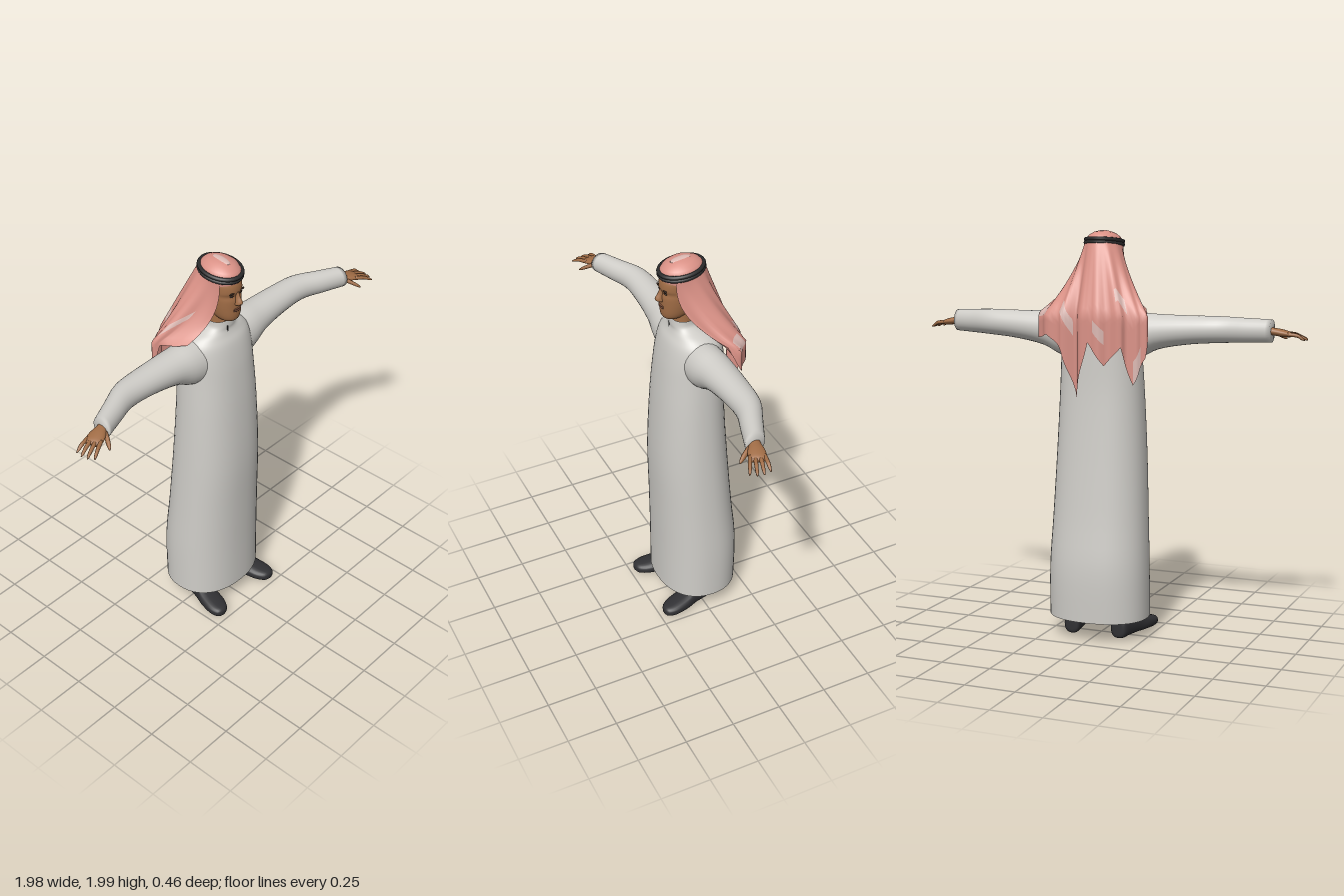
import * as THREE from 'three';
import { mergeGeometries } from 'three/addons/utils/BufferGeometryUtils.js';

const mat = (name, color, side = THREE.FrontSide) => {
  const m = new THREE.MeshStandardMaterial({ color, side });
  m.name = name;
  return m;
};

// Catmull-Rom through rows of numbers, t in 0..1
function sample(rows, t) {
  const n = rows.length - 1, f = t * n, i = Math.min(Math.floor(f), n - 1), s = f - i;
  const [a, b, c, d] = [i - 1, i, i + 1, i + 2].map(k => rows[Math.max(0, Math.min(n, k))]);
  return b.map((_, k) => b[k] + 0.5 * s * (c[k] - a[k]
    + s * (2 * a[k] - 5 * b[k] + 4 * c[k] - d[k] + s * (3 * (b[k] - c[k]) + d[k] - a[k]))));
}

// Skin over rounded rings; rows are [x, y, z, u radius, w radius] along one axis
function loft(axis, rows, { n = 24, sub = 4, exp = 2, caps = true } = {}) {
  const pos = [], idx = [], count = (rows.length - 1) * sub;
  const curve = v => Math.sign(v) * Math.abs(v) ** (2 / exp);
  for (let i = 0; i <= count; i++) {
    const [x, y, z, u, w] = sample(rows, i / count);
    for (let j = 0; j < n; j++) {
      const a = j / n * Math.PI * 2, p = curve(Math.sin(a)) * u, q = curve(Math.cos(a)) * w;
      if (axis === 'y') pos.push(x + p, y, z + q);
      else if (axis === 'x') pos.push(x, y + q, z + p);
      else pos.push(x - p, y + q, z);
      if (i < count) {
        const k = (j + 1) % n, A = i * n + j, B = i * n + k;
        idx.push(A, B, B + n, A, B + n, A + n);
      }
    }
  }
  if (caps) {
    const c = pos.length / 3, last = count * n;
    pos.push(...rows[0].slice(0, 3), ...rows[rows.length - 1].slice(0, 3));
    for (let j = 0; j < n; j++) {
      const k = (j + 1) % n;
      idx.push(c, k, j, c + 1, last + j, last + k);
    }
  }
  const g = new THREE.BufferGeometry();
  g.setAttribute('position', new THREE.Float32BufferAttribute(pos, 3));
  g.setIndex(idx);
  g.computeVertexNormals();
  return g;
}

// Upright form from [y, half width, front z, back z]
const upright = (rows, opts) =>
  loft('y', rows.map(([y, h, f, b]) => [0, y, (f + b) / 2, h, (f - b) / 2]), opts);

function mirrored(geo) {
  const g = geo.clone().scale(-1, 1, 1), ix = g.index;
  for (let i = 0; i < ix.count; i += 3) {
    const t = ix.getX(i);
    ix.setX(i, ix.getX(i + 1));
    ix.setX(i + 1, t);
  }
  return g;
}

const ball = (x, y, z, rx, ry, rz) =>
  new THREE.SphereGeometry(1, 16, 12).scale(rx, ry, rz).translate(x, y, z);

export function createModel() {
  const model = new THREE.Group();
  model.name = 'robedMan';
  const robe = mat('robe white', 0xcfcdc8, THREE.DoubleSide);
  const pink = mat('headcloth pink', 0xda9186, THREE.DoubleSide);
  const pale = mat('headcloth pale', 0xdcb9b3, THREE.DoubleSide);
  const skin = mat('skin', 0xa06c45);
  const lip = mat('lip brown', 0x80503a);
  const dark = mat('hair and eyes', 0x33241c);
  const black = mat('cord black', 0x2a2a2b);
  const shoe = mat('shoe black', 0x303033);

  const add = (name, geo, material, parent = model) => {
    const m = new THREE.Mesh(geo, material);
    m.name = name;
    parent.add(m);
    return m;
  };
  const pair = (name, geo, material) => {
    add(name + 'Left', geo, material);
    add(name + 'Right', mirrored(geo), material);
  };

  // Long robe, open at the hem
  add('robeBody', upright([
    [0.1, 0.25, 0.18, -0.22], [0.35, 0.248, 0.18, -0.225], [0.6, 0.237, 0.184, -0.2],
    [0.9, 0.224, 0.19, -0.175], [1.2, 0.21, 0.176, -0.155], [1.4, 0.2, 0.156, -0.15],
    [1.5, 0.198, 0.14, -0.148], [1.57, 0.185, 0.122, -0.135], [1.61, 0.15, 0.102, -0.1],
    [1.635, 0.1, 0.093, -0.055], [1.655, 0.073, 0.093, -0.03], [1.685, 0.068, 0.09, -0.025],
  ], { n: 48, exp: 2.25, caps: false }), robe);
  add('collarSlit', new THREE.BoxGeometry(0.005, 0.03, 0.008).translate(-0.014, 1.642, 0.091), black);

  // Sleeves
  pair('sleeve', loft('x', [
    [0.08, 1.48, 0, 0.1, 0.118], [0.2, 1.495, -0.005, 0.097, 0.11], [0.3, 1.516, -0.01, 0.085, 0.084],
    [0.45, 1.529, -0.01, 0.073, 0.069], [0.6, 1.535, 0, 0.064, 0.063],
    [0.72, 1.532, 0.045, 0.056, 0.058], [0.83, 1.529, 0.089, 0.049, 0.054],
  ], { n: 28 }), robe);

  // Hands: palm, four fingers, thumb
  const parts = [loft('x', [
    [-0.04, 0, 0, 0.025, 0.02], [0, 0, 0, 0.026, 0.018], [0.04, -0.002, 0, 0.038, 0.018],
    [0.08, -0.005, 0, 0.042, 0.014], [0.1, -0.008, 0, 0.036, 0.007],
  ])];
  [[-0.031, 0.152], [-0.011, 0.168], [0.01, 0.172], [0.031, 0.165]].forEach(([z, end]) =>
    parts.push(loft('x', [
      [0.07, -0.004, z, 0.01, 0.01], [0.115, -0.005, z * 1.25, 0.009, 0.009],
      [end - 0.015, -0.016, z * 1.4, 0.007, 0.007], [end, -0.022, z * 1.5, 0.003, 0.003],
    ], { n: 10 })));
  parts.push(loft('x', [
    [0.01, -0.004, 0.018, 0.016, 0.012], [0.04, -0.014, 0.045, 0.014, 0.011],
    [0.065, -0.025, 0.064, 0.011, 0.009], [0.08, -0.032, 0.074, 0.004, 0.004],
  ], { n: 10 }));
  pair('hand', mergeGeometries(parts).rotateZ(-0.1).rotateY(-0.33).translate(0.83, 1.527, 0.09), skin);

  // Legs and shoes
  pair('leg', new THREE.CylinderGeometry(0.06, 0.036, 0.6, 16).translate(0.13, 0.36, -0.035), skin);
  pair('shoe', loft('z', [
    [0.124, 0.05, -0.095, 0.02, 0.03], [0.125, 0.051, -0.085, 0.04, 0.05],
    [0.132, 0.054, -0.03, 0.046, 0.054], [0.145, 0.049, 0.04, 0.05, 0.049],
    [0.16, 0.038, 0.1, 0.057, 0.038], [0.174, 0.03, 0.17, 0.056, 0.03],
    [0.182, 0.026, 0.215, 0.038, 0.024], [0.184, 0.025, 0.23, 0.014, 0.012],
  ], { exp: 2.5 }), shoe);

  // Head and face
  add('neck', new THREE.CylinderGeometry(0.052, 0.058, 0.16, 20).translate(0, 1.68, 0.03), skin);
  add('head', upright([
    [1.69, 0.028, 0.115, 0.04], [1.705, 0.047, 0.133, 0.02], [1.73, 0.061, 0.14, -0.01],
    [1.77, 0.07, 0.141, -0.03], [1.81, 0.075, 0.141, -0.05], [1.835, 0.076, 0.136, -0.055],
    [1.858, 0.078, 0.143, -0.055], [1.9, 0.077, 0.135, -0.055], [1.94, 0.06, 0.1, -0.04],
  ], { n: 32, exp: 2.15 }), skin);
  add('nose', upright([
    [1.785, 0.008, 0.145, 0.12], [1.793, 0.018, 0.16, 0.12], [1.805, 0.016, 0.169, 0.12],
    [1.83, 0.01, 0.155, 0.12], [1.855, 0.008, 0.144, 0.12],
  ], { n: 14 }), skin);
  for (const [y, h] of [[1.767, 0.004], [1.758, 0.005]])
    add('lip', ball(0, y, 0.139, 0.025, h, 0.007), lip);
  pair('eye', ball(0.029, 1.838, 0.13, 0.012, 0.005, 0.006), dark);
  pair('eyebrow', ball(0.032, 1.855, 0.135, 0.018, 0.004, 0.006).rotateZ(0), dark);

  // Crown of the headcloth with its doubled cord, tilted down to the front
  const crown = new THREE.Group();
  crown.name = 'headclothCrown';
  crown.position.set(0, 1.935, 0.035);
  crown.rotation.x = 0.12;
  model.add(crown);
  const dome = [[0.98, -0.036], [1, 0], [0.96, 0.013], [0.85, 0.029], [0.62, 0.044], [0.32, 0.053], [0.001, 0.056]]
    .map(p => new THREE.Vector2(...p));
  add('crownCloth', new THREE.LatheGeometry(dome, 36).scale(0.087, 1, 0.107), pink, crown);
  add('crownPatch', ball(0, 0.049, 0, 0.022, 0.008, 0.05), pale, crown);
  for (const y of [-0.008, 0.008])
    add('headCord', new THREE.TorusGeometry(0.088, 0.0095, 8, 48).rotateX(Math.PI / 2)
      .scale(1, 1, 1.2).translate(0, y, 0), black, crown);

  // Hanging headcloth: falls from the cord to a pointed hem
  const hem = [
    [-0.22, 1.62, 0.03], [-0.27, 1.585, -0.1], [-0.285, 1.4, -0.14], [-0.22, 1.27, -0.155],
    [-0.17, 1.45, -0.185], [-0.09, 1.36, -0.195], [-0.01, 1.47, -0.215], [0.06, 1.2, -0.175],
    [0.12, 1.42, -0.205], [0.2, 1.5, -0.195], [0.275, 1.48, -0.14], [0.25, 1.615, -0.08],
  ];
  const NU = 66, NV = 18;
  const cloth = new THREE.PlaneGeometry(1, 1, NU, NV), p = cloth.attributes.position;
  for (let i = 0; i <= NV; i++) for (let j = 0; j <= NU; j++) {
    const u = j / NU, v = i / NV, f = u * 11, c = Math.min(Math.floor(f), 10);
    const end = hem[c].map((h, k) => h + (hem[c + 1][k] - h) * (f - c));
    const phi = (u * 2 - 1) * 2.18, sx = Math.sin(phi), cz = -Math.cos(phi);
    const top = [0.089 * sx, 1.937 - 0.013 * cz, 0.035 + 0.108 * cz];
    const y = top[1] + (end[1] - top[1]) * v;
    const s = Math.min(1, (top[1] - y) / (top[1] - Math.max(1.6, end[1])));
    const k = s ** (0.95 + 2 * Math.abs(u * 2 - 1) ** 4);
    const fold = 0.009 * s * Math.sin(u * 55) * (1 - Math.abs(u * 2 - 1) ** 6);
    p.setXYZ(i * (NU + 1) + j, top[0] + (end[0] - top[0]) * k + fold * sx, y,
      top[2] + (end[2] - top[2]) * k + fold * cz);
  }
  // Reverse the winding so the cloth faces outward, and sort cells by colour
  const patches = [[6, 11, 9, 11], [20, 25, 8, 10], [30, 34, 13, 15], [44, 50, 10, 12], [55, 60, 12, 14], [14, 18, 15, 18]];
  const plain = [], light = [];
  for (let i = 0; i < NV; i++) for (let j = 0; j < NU; j++) {
    const a = i * (NU + 1) + j, b = a + NU + 1;
    const inPatch = patches.some(([u0, u1, v0, v1]) => j >= u0 && j < u1 && i >= v0 && i < v1);
    (inPatch ? light : plain).push(a, a + 1, b, a + 1, b + 1, b);
  }
  cloth.setIndex([...plain, ...light]);
  cloth.clearGroups();
  cloth.addGroup(0, plain.length, 0);
  cloth.addGroup(plain.length, light.length, 1);
  cloth.computeVertexNormals();
  add('hangingHeadcloth', cloth, [pink, pale]);

  return model;
}
